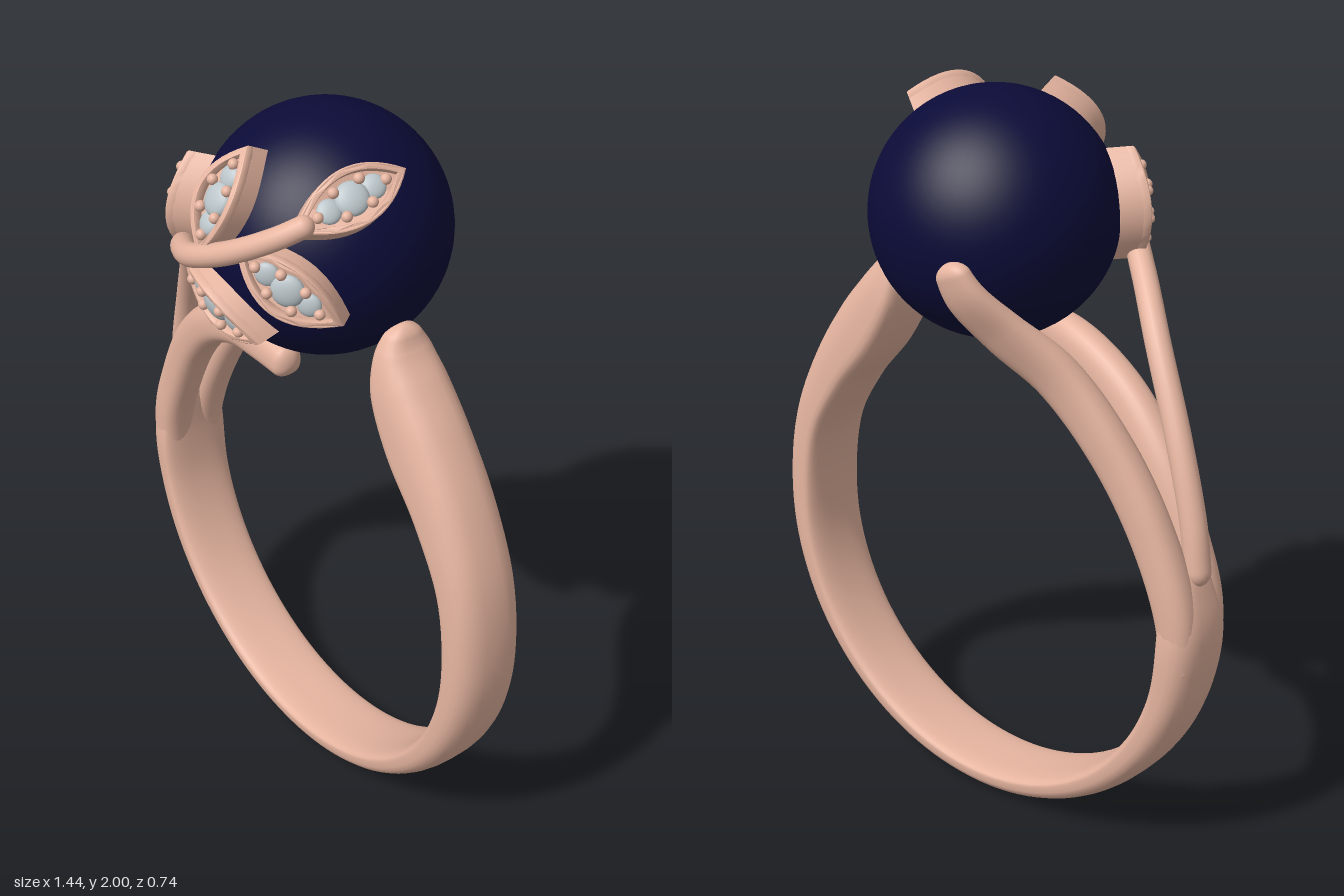
import * as THREE from 'three';
import { toCreasedNormals } from 'three/addons/utils/BufferGeometryUtils.js';

const gold = new THREE.MeshStandardMaterial({ color: 0xe6b5a0 });
const pearlMat = new THREE.MeshStandardMaterial({ color: 0x0b0b38 });
const gemMat = new THREE.MeshStandardMaterial({ color: 0xbcc6ca });
const CENTER = new THREE.Vector3(0, 1.677, -0.027);
const V = (a) => new THREE.Vector3(...a);

function mesh(name, geometry, material) {
  const m = new THREE.Mesh(geometry, material);
  m.name = name;
  return m;
}

// Sweep of a rounded section along stations [x, y, z, half thickness, half width].
// skew moves the widest line inward, square flattens the sides, ends are rounded over u = r0, r1.
function sweep(stations, { skew = 0, square = 1, r0 = 0.03, r1 = 0.03, n = 110, m = 28 } = {}) {
  const path = new THREE.CatmullRomCurve3(stations.map((s) => V(s.slice(0, 3))));
  const size = new THREE.CatmullRomCurve3(stations.map((s) => new THREE.Vector3(s[3], s[4], 0)), false, 'catmullrom', 0.5);
  const round = (d, r) => Math.sqrt(Math.max(0, 1 - (1 - Math.min(1, d / r)) ** 2));
  const pow = (v) => Math.sign(v) * Math.abs(v) ** square;
  const pos = [], index = [];
  for (let i = 0; i <= n; i++) {
    const u = 0.5 - 0.5 * Math.cos((Math.PI * i) / n);
    const p = path.getPoint(u), T = path.getTangent(u), s = size.getPoint(u);
    const W = new THREE.Vector3(0, 0, 1).addScaledVector(T, -T.z).normalize();
    const N = new THREE.Vector3().crossVectors(T, W);
    const f = Math.max(0.002, round(u, r0) * round(1 - u, r1));
    for (let j = 0; j < m; j++) {
      const a = (j / m) * Math.PI * 2, sn = pow(Math.sin(a));
      const h = -skew + (sn > 0 ? 1 + skew : 1 - skew) * sn;
      const q = p.clone().addScaledVector(W, pow(Math.cos(a)) * s.y * f).addScaledVector(N, h * s.x * f);
      pos.push(q.x, q.y, q.z);
      if (i < n) {
        const k = (j + 1) % m, A = i * m + j, B = i * m + k;
        index.push(A, B, A + m, B, B + m, A + m);
      }
    }
  }
  const g = new THREE.BufferGeometry();
  g.setAttribute('position', new THREE.Float32BufferAttribute(pos, 3));
  // Orient outward by the sign of the enclosed volume
  let vol = 0;
  const at = (i) => new THREE.Vector3().fromArray(pos, i * 3);
  for (let i = 0; i < index.length; i += 3) vol += at(index[i]).dot(at(index[i + 1]).cross(at(index[i + 2])));
  if (vol < 0) index.reverse();
  g.setIndex(index);
  g.computeVertexNormals();
  return g;
}

// Pointed leaf outline
function outline(Type, h, w) {
  const s = new Type();
  s.moveTo(0, -h);
  s.quadraticCurveTo(w * 2, 0, 0, h);
  s.quadraticCurveTo(-w * 2, 0, 0, -h);
  return s;
}

// Curve the leaf around the pearl
const drop = (y) => -y * y / 0.65;
function bend(g) {
  const p = g.attributes.position;
  for (let i = 0; i < p.count; i++) p.setZ(i, p.getZ(i) + drop(p.getY(i)));
  return toCreasedNormals(g, 0.6);
}

function makeLeaf(name, base, tip) {
  const leaf = new THREE.Group();
  leaf.name = name;
  const b = V(base), t = V(tip), mid = b.clone().add(t).multiplyScalar(0.5);
  const h = b.distanceTo(t) / 2, w = 0.072;
  const Y = t.clone().sub(b).normalize();
  const Z = mid.clone().sub(CENTER);
  Z.addScaledVector(Y, -Z.dot(Y)).normalize();
  const X = new THREE.Vector3().crossVectors(Y, Z);
  leaf.quaternion.setFromRotationMatrix(new THREE.Matrix4().makeBasis(X, Y, Z));
  leaf.position.copy(mid);

  // Solid body and raised rim
  const body = new THREE.ExtrudeGeometry(outline(THREE.Shape, h, w), { depth: 0.06, bevelEnabled: false, curveSegments: 16 });
  leaf.add(mesh('leafBody', bend(body.translate(0, 0, -0.055)), gold));
  const rimShape = outline(THREE.Shape, h, w);
  rimShape.holes.push(outline(THREE.Path, h * 0.82, w * 0.75));
  const rim = new THREE.ExtrudeGeometry(rimShape, {
    depth: 0.018, bevelThickness: 0.004, bevelSize: 0.004, bevelOffset: -0.004, bevelSegments: 2, curveSegments: 16,
  });
  leaf.add(mesh('leafRim', bend(rim.translate(0, 0, 0.003)), gold));

  // Three stones
  for (const [y, r] of [[-0.062, 0.031], [0, 0.043], [0.062, 0.031]]) {
    const gem = mesh('stone', new THREE.SphereGeometry(r, 20, 12), gemMat);
    gem.scale.z = 0.45;
    gem.position.set(0, y, 0.005 + drop(y));
    leaf.add(gem);
  }
  // Bead prongs between the stones
  for (const [x, y] of [[-0.032, -0.036], [0.032, -0.036], [-0.032, 0.036], [0.032, 0.036], [0, 0.095], [0, -0.095]]) {
    const bead = mesh('prong', new THREE.SphereGeometry(0.014, 12, 8), gold);
    bead.position.set(x, y, 0.02 + drop(y));
    leaf.add(bead);
  }
  return leaf;
}

export function createModel() {
  const ring = new THREE.Group();
  ring.name = 'ring';

  // Pearl
  const pearl = mesh('pearl', new THREE.SphereGeometry(0.323, 64, 40), pearlMat);
  pearl.position.copy(CENTER);
  ring.add(pearl);

  // Band from the split on the right side, round the bottom, to the broad left shoulder
  const z = -0.026;
  const band = [[-0.625, 0.93, z, 0.03, 0.03], [-0.648, 0.82, z, 0.048, 0.085]];
  for (let i = 0; i <= 12; i++) {
    const a = Math.PI * (1 + i / 12);
    band.push([0.6625 * Math.cos(a), 0.7 + 0.6625 * Math.sin(a), z, 0.0575 + 0.02 * Math.sin(a), 0.105]);
  }
  band.push(
    [0.635, 0.925, z, 0.063, 0.105], [0.543, 1.115, z, 0.08, 0.105], [0.435, 1.265, z, 0.092, 0.105],
    [0.355, 1.39, z, 0.076, 0.098], [0.322, 1.48, z, 0.045, 0.076], [0.315, 1.55, z, 0.022, 0.035],
  );
  ring.add(mesh('band', sweep(band, { skew: 0.45, square: 0.75, r0: 0.02, r1: 0.02, n: 160 }), gold));

  // Front and back branches of the split shoulder, tip to band
  const front = [
    [0.055, 1.345, 0.12, 0.044, 0.04], [-0.08, 1.347, 0.112, 0.052, 0.045], [-0.2, 1.325, 0.095, 0.054, 0.05],
    [-0.36, 1.24, 0.07, 0.058, 0.052], [-0.495, 1.1, 0.045, 0.06, 0.053], [-0.59, 0.93, 0.032, 0.058, 0.052],
    [-0.648, 0.77, 0.027, 0.055, 0.052], [-0.662, 0.58, 0.025, 0.042, 0.045],
  ];
  const back = [
    [-0.125, 1.655, -0.345, 0.045, 0.028], [-0.16, 1.57, -0.318, 0.06, 0.034], [-0.22, 1.47, -0.245, 0.066, 0.04],
    [-0.32, 1.355, -0.16, 0.066, 0.048], [-0.45, 1.185, -0.112, 0.062, 0.052], [-0.565, 0.99, -0.09, 0.059, 0.052],
    [-0.648, 0.77, -0.079, 0.055, 0.052], [-0.662, 0.58, -0.077, 0.042, 0.045],
  ];
  ring.add(mesh('frontBranch', sweep(front, { skew: 0.2, square: 0.85 }), gold));
  ring.add(mesh('backBranch', sweep(back, { skew: 0.2, square: 0.85, r0: 0.05 }), gold));

  // Vine climbing over the front of the pearl
  const vine = [
    [0.25, 1.885, 0.2], [0.19, 1.835, 0.265], [0.08, 1.765, 0.322], [-0.06, 1.695, 0.335], [-0.19, 1.635, 0.275],
    [-0.32, 1.545, 0.175], [-0.45, 1.405, 0.075], [-0.57, 1.205, 0.01], [-0.648, 1.0, -0.02], [-0.678, 0.84, -0.03],
  ].map((p, i) => [...p, 0.028 + i * 0.0009, 0.028 + i * 0.0009]);
  ring.add(mesh('vine', sweep(vine, { m: 18 }), gold));

  // Leaves set with stones: base and tip of each
  ring.add(makeLeaf('rightLeaf', [-0.3, 1.56, 0.21], [-0.27, 1.85, 0.205]));
  ring.add(makeLeaf('topLeaf', [-0.02, 1.725, 0.355], [0, 1.985, 0.215]));
  ring.add(makeLeaf('leftLeaf', [0.11, 1.79, 0.33], [0.33, 1.62, 0.175]));
  ring.add(makeLeaf('lowerLeaf', [-0.15, 1.625, 0.31], [0.14, 1.515, 0.295]));
  ring.add(makeLeaf('endLeaf', [0.23, 1.865, 0.24], [0.275, 1.955, -0.06]));
  return ring;
}
